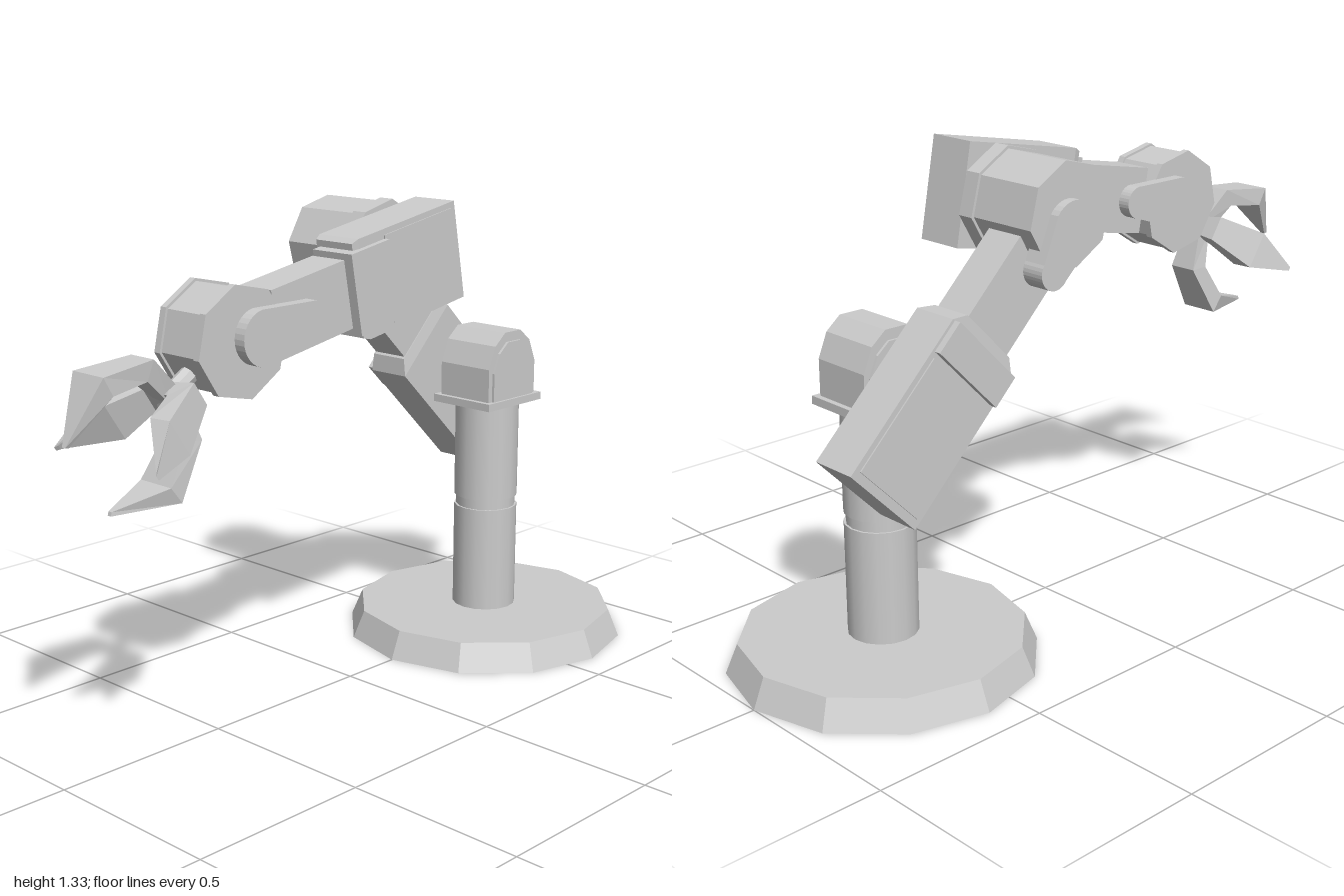
import * as THREE from 'three';

const flat = new THREE.MeshStandardMaterial({ color: 0xcccccc, flatShading: true });
const smooth = new THREE.MeshStandardMaterial({ color: 0xcccccc });
const deg = Math.PI / 180;

function add(parent, name, geometry, x, y, z, material = flat) {
  const mesh = new THREE.Mesh(geometry, material);
  mesh.name = name;
  mesh.position.set(x, y, z);
  parent.add(mesh);
  return mesh;
}

function joint(parent, name, x, y, z, tilt) {
  const group = new THREE.Group();
  group.name = name;
  group.position.set(x, y, z);
  group.rotation.x = tilt;
  parent.add(group);
  return group;
}

const box = (w, h, d) => new THREE.BoxGeometry(w, h, d);

// Prism with its axis along x; first corner at the given angle in the z-y plane
const drum = (r, width, sides, turn = 0) =>
  new THREE.CylinderGeometry(r, r, width, sides, 1, false, -turn * deg).rotateZ(-Math.PI / 2);

// Extrude a z-y outline along x, centred on x = 0
const slab = (shape, width) =>
  new THREE.ExtrudeGeometry(shape, { depth: width, bevelEnabled: false, curveSegments: 8 })
    .translate(0, 0, -width / 2).rotateY(-Math.PI / 2);

// Rounded link: large end at the origin, small end behind it
function link(length) {
  const s = new THREE.Shape();
  s.absarc(0, 0, 0.072, -Math.PI / 2, Math.PI / 2, false);
  s.absarc(-length, 0, 0.045, Math.PI / 2, Math.PI * 1.5, false);
  return s;
}

// Half-octagon housing outline, standing on y = 0
function arch(k) {
  const pts = [[0.105, 0], [0.105, 0.1], [0.078, 0.165], [0.035, 0.2]];
  const half = pts.map(([z, y]) => new THREE.Vector2(z * k, y * k));
  return new THREE.Shape([...half, ...half.slice().reverse().map((p) => new THREE.Vector2(-p.x, p.y))]);
}

// Box whose +z end narrows over the last stretch
function taperedBox(w, h, d, kw, kh, tip) {
  const g = new THREE.BoxGeometry(w, h, d, 1, 1, 2);
  const p = g.attributes.position;
  for (let i = 0; i < p.count; i++) {
    if (Math.abs(p.getZ(i)) < 1e-6) p.setZ(i, d / 2 - tip);
    else if (p.getZ(i) > 0) p.setXYZ(i, p.getX(i) * kw, p.getY(i) * kh, p.getZ(i));
  }
  return g;
}

// Finger from four-cornered sections: [outer axial, outer radial, inner axial, inner radial, half width]
function finger(sections) {
  const pos = [];
  const idx = [];
  for (const [oa, or, ia, ir, w] of sections) {
    pos.push(-w, or, oa, w, or, oa, w, ir, ia, -w, ir, ia);
  }
  const last = (sections.length - 1) * 4;
  for (let s = 0; s < last; s += 4) {
    for (let k = 0; k < 4; k++) {
      const a = s + k, b = s + ((k + 1) % 4);
      idx.push(a, a + 4, b, b, a + 4, b + 4);
    }
  }
  idx.push(0, 1, 2, 0, 2, 3, last, last + 2, last + 1, last, last + 3, last + 2);
  const g = new THREE.BufferGeometry();
  g.setAttribute('position', new THREE.Float32BufferAttribute(pos, 3));
  g.setIndex(idx);
  g.computeVertexNormals();
  return g;
}

export function createModel() {
  const model = new THREE.Group();
  model.name = 'roboticArm';
  const Z = -0.587;

  // Base and column
  add(model, 'base', new THREE.CylinderGeometry(0.38, 0.413, 0.08, 12), 0, 0.04, Z);
  const column = (r, y0, y1, name) =>
    add(model, name, new THREE.CylinderGeometry(r, r, y1 - y0, 16), 0, (y0 + y1) / 2, Z, smooth);
  column(0.094, 0.08, 0.39, 'lowerColumn');
  column(0.088, 0.39, 0.42, 'columnGroove');
  column(0.094, 0.42, 0.71, 'upperColumn');

  // Shoulder housing with its end panels
  add(model, 'shoulderPlate', box(0.21, 0.022, 0.24), 0, 0.717, Z);
  add(model, 'shoulderHousing', slab(arch(1), 0.18), 0, 0.725, Z);
  add(model, 'shoulderPanels', slab(arch(0.85), 0.195), 0, 0.727, Z);
  add(model, 'shoulderShaft', drum(0.053, 0.1, 12), -0.12, 0.8, -0.593, smooth);

  // Upper arm, pointing up and forward
  const upper = joint(model, 'upperArm', -0.204, 0.728, -0.626, -44.5 * deg);
  add(upper, 'counterweight', taperedBox(0.132, 0.265, 0.48, 0.9, 0.72, 0.035), 0, 0, 0.017);
  add(upper, 'counterweightPanel', box(0.006, 0.235, 0.32), -0.067, 0, -0.04);
  add(upper, 'upperArmBand', box(0.03, 0.25, 0.09), -0.07, 0, 0.178);
  add(upper, 'upperArmBeam', box(0.113, 0.175, 0.4), 0, 0, 0.42);

  // Elbow motor
  const Y = 1.18, EZ = -0.21;
  add(model, 'elbowMotor', drum(0.138, 0.23, 8, 8), -0.195, Y, EZ);
  add(model, 'elbowFlange', drum(0.146, 0.046, 8, 8), -0.083, Y, EZ);
  add(model, 'elbowShaft', drum(0.075, 0.06, 12), -0.04, Y, EZ, smooth);
  for (const [x, w] of [[-0.303, 0.066], [-0.125, 0.05]]) {
    const plate = add(model, 'elbowLink', slab(link(0.12), w), x, 1.15, -0.22);
    plate.rotation.x = -55 * deg;
  }

  // Forearm, sloping down to the front
  const fore = joint(model, 'forearm', 0.05, 1.16, -0.107, 10.3 * deg);
  add(fore, 'forearmHousing', taperedBox(0.14, 0.272, 0.4, 0.92, 0.94, 0.02), 0, 0, 0);
  add(fore, 'forearmPanel', box(0.006, 0.24, 0.27), 0.07, 0, -0.05);
  add(fore, 'forearmBand', box(0.14, 0.22, 0.145), 0.017, 0, 0.155);
  add(fore, 'forearmBeam', box(0.115, 0.185, 0.4), 0, 0, 0.29);

  // Wrist
  const WY = 1.052, WZ = 0.507;
  add(model, 'wristBody', drum(0.14, 0.13, 8, 35), 0.05, WY, WZ);
  for (const side of [-1, 1]) {
    add(model, 'wristRim', drum(0.147, 0.02, 8, 35), 0.05 + side * 0.072, WY, WZ);
    const plate = add(model, 'wristLink', slab(link(0.17), 0.036), 0.05 + side * 0.098, 1.062, 0.465);
    plate.rotation.x = 9 * deg;
  }

  // Gripper: two curled fingers above and below, two spread to the sides
  const grip = joint(model, 'gripper', 0.05, 0.967, 0.63, 33 * deg);
  add(grip, 'gripperShaft', new THREE.CylinderGeometry(0.024, 0.024, 0.14, 8).rotateX(Math.PI / 2), 0, 0, 0.01);
  const curled = finger([
    [0.035, 0, 0.08, 0, 0.025],
    [0.064, 0.131, 0.109, 0.1, 0.042],
    [0.208, 0.205, 0.212, 0.15, 0.057],
    [0.36, 0.113, 0.352, 0.106, 0.006],
  ]);
  const spread = finger([
    [0.035, 0, 0.08, 0, 0.025],
    [0.03, 0.09, 0.085, 0.045, 0.036],
    [0.17, 0.15, 0.175, 0.085, 0.055],
    [0.295, 0.192, 0.287, 0.183, 0.006],
  ]);
  for (let i = 0; i < 4; i++) {
    const f = add(grip, i % 2 ? 'sideFinger' : 'curledFinger', i % 2 ? spread : curled, 0, 0, 0);
    f.rotation.z = (i * Math.PI) / 2;
  }
  return model;
}
